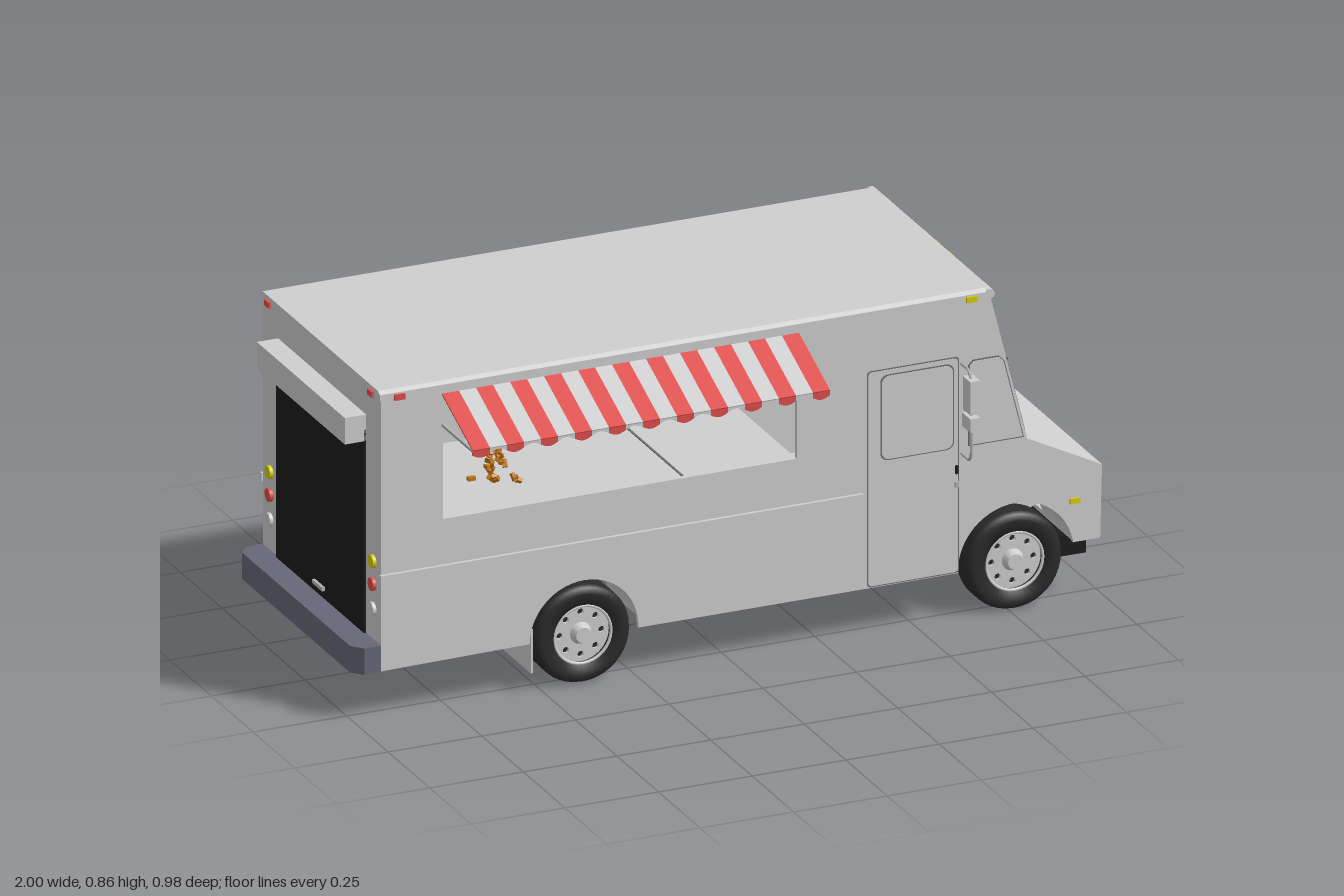
import * as THREE from 'three';

const mat = (name, color, side = THREE.FrontSide) => {
  const m = new THREE.MeshStandardMaterial({ color, side });
  m.name = name;
  return m;
};

export function createModel() {
  const truck = new THREE.Group();
  truck.name = 'foodTruck';
  const white = mat('body white', 0xcecece, THREE.DoubleSide);
  const grey = mat('trim grey', 0xb4b4b4);
  const seam = mat('seam grey', 0x707070);
  const black = mat('black', 0x1c1c1c);
  const rubber = mat('tyre rubber', 0x2a2a2a, THREE.DoubleSide);
  const steel = mat('bumper steel', 0x676778);
  const red = mat('red', 0xde4c4c, THREE.DoubleSide);
  const yellow = mat('lamp yellow', 0xd6cc10);
  const orange = mat('food orange', 0xc47a18);

  const C = -0.055, H = 0.355; // body centre line and half width in z
  const add = (name, geo, m, x = 0, y = 0, z = 0) => {
    const mesh = new THREE.Mesh(geo, m);
    mesh.name = name;
    mesh.position.set(x, y, z);
    truck.add(mesh);
    return mesh;
  };
  const box = (name, m, x0, x1, y0, y1, z0, z1) =>
    add(name, new THREE.BoxGeometry(x1 - x0, y1 - y0, z1 - z0), m, (x0 + x1) / 2, (y0 + y1) / 2, (z0 + z1) / 2);
  const tube = (name, m, pts, r) =>
    add(name, new THREE.TubeGeometry(new THREE.CatmullRomCurve3(pts, false, 'catmullrom', 0.1), pts.length * 5, r, 6), m);
  const V = (x, y, z) => new THREE.Vector3(x, y, z);
  const polygon = (pts) => new THREE.Shape(pts.map((p) => new THREE.Vector2(...p)));
  const extrude = (shape, depth, curveSegments = 8) =>
    new THREE.ExtrudeGeometry(shape, { depth, curveSegments, bevelEnabled: false });
  const roundRect = (a0, a1, b0, b1, r) => {
    const s = new THREE.Shape();
    s.absarc(a1 - r, b1 - r, r, 0, Math.PI / 2);
    s.absarc(a0 + r, b1 - r, r, Math.PI / 2, Math.PI);
    s.absarc(a0 + r, b0 + r, r, Math.PI, Math.PI * 1.5);
    s.absarc(a1 - r, b0 + r, r, Math.PI * 1.5, Math.PI * 2);
    return s;
  };
  const arches = [[-0.388, 0.145], [0.765, 0.155]];

  // Side walls with wheel arches; the left one has the serving hatch
  for (const s of [1, -1]) {
    const wall = new THREE.Shape();
    wall.moveTo(-0.93, 0.85);
    wall.lineTo(-0.93, 0.125);
    wall.absarc(arches[0][0], 0.13, arches[0][1], Math.PI, 0, true);
    wall.lineTo(-0.243, 0.125);
    wall.lineTo(0.61, 0.125);
    wall.absarc(arches[1][0], 0.13, arches[1][1], Math.PI, 0.16, true);
    for (const p of [[0.99, 0.155], [0.995, 0.348], [0.795, 0.45], [0.695, 0.85]]) wall.lineTo(...p);
    if (s > 0) wall.holes.push(polygon([[-0.765, 0.5], [-0.765, 0.83], [0.18, 0.83], [0.18, 0.5]]));
    add('sideWall', extrude(wall, 0.012, 24), white, 0, 0, s > 0 ? C + H - 0.012 : C - H);
  }

  // Windscreen panel, bonnet, nose and chin, each running between two profile points
  const front = [[0.695, 0.85], [0.795, 0.45], [0.995, 0.348], [0.99, 0.155], [0.92, 0.155]];
  ['windscreenPanel', 'bonnet', 'nose', 'chin'].forEach((name, i) => {
    const [a, b] = [front[i], front[i + 1]];
    const dx = b[0] - a[0], dy = b[1] - a[1], l = Math.hypot(dx, dy), t = 0.012;
    const slab = add(name, new THREE.BoxGeometry(l, t, 2 * H - 0.002), white,
      (a[0] + b[0]) / 2 + dy / l * t / 2, (a[1] + b[1]) / 2 - dx / l * t / 2, C);
    slab.rotation.z = Math.atan2(dy, dx);
  });

  // Roof with chamfered edges and a rounded front lip
  const e = H + 0.004;
  const roof = polygon([[-e, 0.84], [-e, 0.857], [-e + 0.012, 0.864], [e - 0.012, 0.864], [e, 0.857], [e, 0.84]]);
  add('roof', extrude(roof, 1.63).rotateY(Math.PI / 2), white, -0.935, 0, C);
  add('roofLip', new THREE.CylinderGeometry(0.013, 0.013, 2 * H + 0.008, 16).rotateX(Math.PI / 2), white, 0.694, 0.85, C);

  // Back wall, floor and door step
  box('backWall', white, -0.93, -0.918, 0.125, 0.85, C - H, C + H);
  box('floor', white, -0.93, 0.92, 0.19, 0.2, C - 0.175, C + 0.175);
  for (const [x0, x1] of [[-0.93, -0.52], [-0.256, 0.622]]) {
    box('floorSide', white, x0, x1, 0.19, 0.2, C - H, C - 0.175);
    box('floorSide', white, x0, x1, 0.19, 0.2, C + 0.175, C + H);
  }
  box('doorStep', white, 0.37, 0.605, 0.127, 0.19, 0.12, 0.288);

  // Serving counter in two sections, and a back shelf
  box('counter', white, -0.765, -0.123, 0.485, 0.5, -0.14, 0.288);
  box('counterJoint', seam, -0.123, -0.117, 0.485, 0.502, -0.14, 0.288);
  box('counter', white, -0.117, 0.18, 0.485, 0.5, -0.14, 0.288);
  box('backShelf', white, -0.9, 0.3, 0.635, 0.65, -0.4, -0.25);
  box('shelfEdge', black, -0.12, 0.18, 0.645, 0.651, -0.25, -0.246);

  // Food display: small pieces scattered by fixed ratios
  for (let i = 0; i < 26; i++) {
    const u = (i * 0.618) % 1, h = (i * 0.755) % 1;
    const piece = add('foodPiece', new THREE.BoxGeometry(0.02, 0.009, 0.013), orange,
      -0.55 + (u - 0.5) * 0.1 * (1.05 - 0.5 * h), 0.506 + h * 0.108, 0.14 + ((i * 0.37) % 1 - 0.5) * 0.07);
    piece.rotation.set(i * 0.9, i * 1.7, i * 0.6);
  }

  // Striped awning with scalloped valance
  const n = 21, w = 0.953 / n, drop = Math.atan2(0.08, 0.187);
  for (let i = 0; i < n; i++) {
    const x = -0.768 + i * w, m = i % 2 ? white : red;
    const stripe = add('awningStripe', new THREE.BoxGeometry(w, 0.004, 0.203), m, x + w / 2, 0.791, 0.394);
    stripe.rotation.x = drop;
    const edge = [[0, 0]];
    for (let k = 0; k <= 6; k++) edge.push([k / 6 * w, -0.015 + (i % 2 ? 0.008 : -0.008) * Math.sin(k / 6 * Math.PI)]);
    edge.push([w, 0]);
    add('awningValance', extrude(polygon(edge), 0.004), m, x, 0.753, 0.483);
  }
  for (const x of [-0.765, 0.181]) box('awningArm', grey, x - 0.004, x + 0.004, 0.746, 0.753, 0.29, 0.485);

  // Wheels: tyre, pierced rim and hub
  const tyreGeo = new THREE.LatheGeometry([[0.076, -0.036], [0.108, -0.042], [0.123, -0.036], [0.128, -0.024], [0.128, 0.024],
    [0.123, 0.036], [0.108, 0.042], [0.076, 0.036], [0.074, 0]].map((p) => new THREE.Vector2(...p)), 40).rotateX(Math.PI / 2);
  const disc = new THREE.Shape().absarc(0, 0, 0.077, 0, Math.PI * 2);
  for (let i = 0; i < 8; i++) {
    const a = i * Math.PI / 4;
    disc.holes.push(new THREE.Path().absarc(Math.cos(a) * 0.056, Math.sin(a) * 0.056, 0.008, 0, Math.PI * 2, true));
  }
  const discGeo = extrude(disc, 0.008, 16);
  const wheel = (name, x, z, s) => {
    const g = new THREE.Group();
    g.name = name;
    const part = (partName, geo, m, pz) => {
      const mesh = new THREE.Mesh(geo, m);
      mesh.name = partName;
      mesh.position.z = pz;
      g.add(mesh);
    };
    part('tyre', tyreGeo, rubber, 0);
    part('rim', discGeo, white, 0.014);
    part('rimBack', new THREE.CircleGeometry(0.076, 24), rubber, -0.01);
    part('rimRing', new THREE.TorusGeometry(0.076, 0.004, 8, 32), white, 0.034);
    part('hub', new THREE.CylinderGeometry(0.02, 0.03, 0.022, 16).rotateX(Math.PI / 2), white, 0.03);
    g.position.set(x, 0.128, z);
    if (s < 0) g.rotation.y = Math.PI;
    truck.add(g);
  };

  for (const s of [1, -1]) {
    const Z = (d) => C + s * (H + d); // distance outside the side wall
    const sideBox = (name, m, x0, x1, y0, y1, d0, d1) =>
      box(name, m, x0, x1, y0, y1, Math.min(Z(d0), Z(d1)), Math.max(Z(d0), Z(d1)));
    wheel('frontWheel', 0.765, Z(-0.043), s);
    wheel('rearOuterWheel', -0.388, Z(-0.043), s);
    wheel('rearInnerWheel', -0.388, Z(-0.131), s);

    // Wheel wells and mud flaps
    for (const [x, r] of arches) {
      add('wheelWell', new THREE.CylinderGeometry(r, r, 0.178, 24, 1, true, Math.PI / 2 + 0.18, Math.PI - 0.36).rotateX(Math.PI / 2), white, x, 0.13, Z(-0.089));
      add('wheelWellBack', new THREE.CircleGeometry(r, 24, 0.44, Math.PI - 0.88), white, x, 0.13, Z(-0.178));
    }
    sideBox('mudFlap', white, -0.528, -0.522, 0.05, 0.165, -0.175, -0.005);

    // Side rail, marker lamps and door handle
    sideBox('sideRail', white, -0.935, 0.355, 0.358, 0.38, 0, 0.009);
    sideBox('rearMarker', red, -0.897, -0.87, 0.838, 0.853, 0, 0.01);
    sideBox('roofMarker', yellow, 0.63, 0.658, 0.838, 0.853, 0, 0.01);
    sideBox('sideIndicator', yellow, 0.908, 0.935, 0.258, 0.272, 0, 0.006);
    sideBox('doorHandle', black, 0.602, 0.608, 0.39, 0.412, 0, 0.007);
    sideBox('doorLatch', grey, 0.6, 0.61, 0.355, 0.37, 0, 0.008);

    // Door and windows: thin plates, each over a slightly larger seal
    const plate = (name, shapeAt, t) => {
      add(name, extrude(shapeAt(0), t, 5), white, 0, 0, s > 0 ? Z(0) : Z(t));
      add(name + 'Seal', extrude(shapeAt(0.003), t - 0.001, 5), seam, 0, 0, s > 0 ? Z(0) : Z(t - 0.001));
    };
    if (s > 0) plate('door', (o) => roundRect(0.37 - o, 0.61 + o, 0.13 - o, 0.695 + o, 0.01), 0.002);
    plate('doorWindow', (o) => roundRect(0.405 - o, 0.595 + o, 0.46 - o, 0.68 + o, 0.02), 0.005);
    plate('quarterWindow', (o) => polygon([[0.64 - o, 0.46 - o], [0.782 + o, 0.46 - o], [0.73 + o, 0.668],
      [0.718, 0.68 + o], [0.65, 0.68 + o], [0.64 - o, 0.67]]), 0.004);

    // Mirrors on a tubular bracket
    tube('mirrorBracket', grey, [[0, 0.677], [0.04, 0.677], [0.058, 0.655], [0.058, 0.46], [0.045, 0.44], [0, 0.44]]
      .map(([d, y]) => V(0.62, y, Z(d))), 0.004);
    sideBox('mirror', white, 0.608, 0.634, 0.572, 0.66, 0.034, 0.08);
    sideBox('lowerMirror', white, 0.608, 0.634, 0.526, 0.562, 0.03, 0.08);

    // Headlamp cluster
    const hz = C + s * 0.28;
    box('headlampSurround', white, 0.985, 0.996, 0.188, 0.318, hz - 0.05, hz + 0.05);
    add('headlamp', new THREE.CylinderGeometry(0.028, 0.03, 0.012, 28).rotateZ(-Math.PI / 2), white, 0.993, 0.23, hz);
    add('headlampRing', new THREE.TorusGeometry(0.03, 0.003, 8, 28).rotateY(Math.PI / 2), white, 0.996, 0.23, hz);
    box('turnLamp', grey, 0.99, 0.999, 0.285, 0.303, hz - 0.023, hz + 0.023);

    // Rear lamp column and upper markers
    const rz = C + s * 0.31;
    [[0.4, yellow], [0.34, red], [0.275, white]].forEach(([y, m]) =>
      add('rearLamp', new THREE.CylinderGeometry(0.017, 0.017, 0.01, 18).rotateZ(Math.PI / 2), m, -0.934, y, rz));
    box('rearRoofMarker', red, -0.942, -0.93, 0.838, 0.853, rz - 0.013, rz + 0.013);
  }

  // Windscreen panes and wipers lie on the sloping panel
  const slope = Math.atan2(0.1, 0.4);
  const glassX = (y) => 0.795 - 0.25 * (y - 0.45);
  for (const [z0, z1] of [[-0.047, 0.29], [-0.395, -0.058]]) {
    const half = (z1 - z0) / 2, tall = 0.109 / Math.cos(slope);
    for (const [name, m, o, t] of [['windscreenPane', white, -0.003, 0.005], ['windscreenSeal', seam, 0, 0.004]]) {
      const geo = extrude(roundRect(-half - o, half + o, -tall - o, tall + o, 0.02), t, 5).rotateY(Math.PI / 2);
      add(name, geo, m, glassX(0.565), 0.565, (z0 + z1) / 2).rotation.z = slope;
    }
    const pz = z0 + 0.06;
    const onGlass = (y, z) => V(glassX(y) + 0.01, y, z);
    tube('wiperArm', black, [onGlass(0.705, pz), onGlass(0.656, pz + 0.17)], 0.003);
    tube('wiperBlade', black, [onGlass(0.656, pz + 0.09), onGlass(0.656, pz + 0.265)], 0.0025);
    add('wiperPivot', new THREE.SphereGeometry(0.008, 12, 8), black, glassX(0.705) + 0.006, 0.705, pz);
  }

  // Roof lamps across the front
  for (const z of [0.245, 0.022, -0.052, -0.127, -0.35]) box('roofLamp', yellow, 0.69, 0.714, 0.836, 0.849, z - 0.014, z + 0.014);

  // Grille: two raised frames with slots
  for (const y of [0.293, 0.212]) {
    const frame = roundRect(-0.194, 0.194, -0.031, 0.031, 0.012);
    frame.holes.push(roundRect(-0.14, 0.14, -0.013, 0.013, 0.002));
    add('grilleFrame', extrude(frame, 0.012).rotateY(Math.PI / 2), white, 0.988, y, C);
    box('grilleSlot', grey, 0.985, 0.996, y - 0.013, y + 0.013, C - 0.14, C + 0.14);
  }
  box('frontBumper', black, 0.89, 0.972, 0.102, 0.156, C - 0.31, C + 0.31);

  // Rear shutter, its housing and the chamfered bumper
  box('rearShutter', black, -0.936, -0.929, 0.19, 0.73, C - 0.265, C + 0.265);
  box('shutterHousing', white, -0.987, -0.93, 0.7, 0.77, C - 0.265, C + 0.265);
  box('shutterHandle', grey, -0.944, -0.935, 0.215, 0.225, C - 0.03, C + 0.03);
  const bumper = polygon([[-0.93, -H], [-0.975, -H], [-1, -H + 0.03], [-1, H - 0.03], [-0.975, H], [-0.93, H]]);
  add('rearBumper', extrude(bumper, 0.07).rotateX(-Math.PI / 2), steel, 0, 0.123, C);

  return truck;
}
